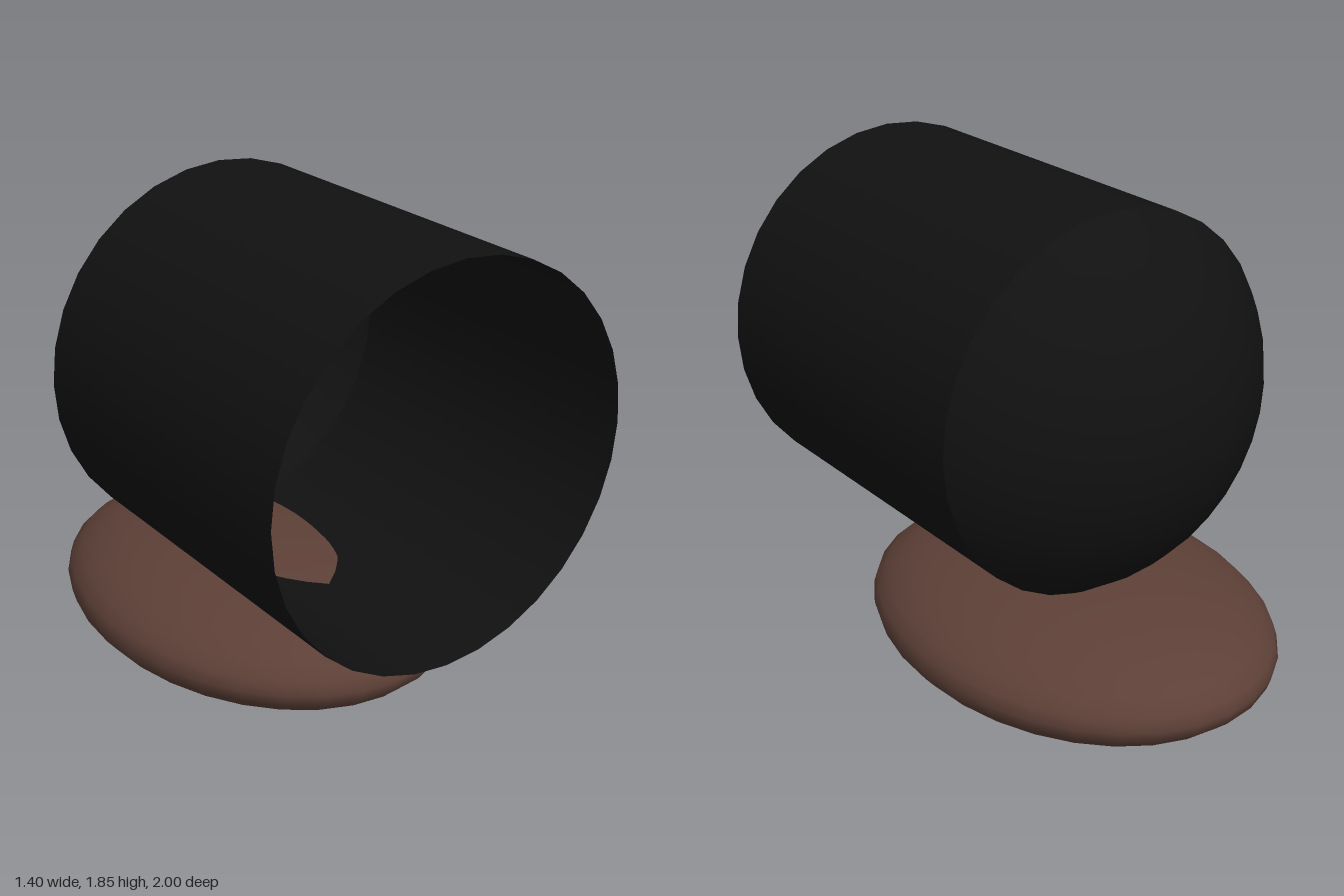
import * as THREE from 'three';

export function createModel() {
  const model = new THREE.Group();
  const black = new THREE.MeshStandardMaterial({ color: 0x111111, side: THREE.DoubleSide });
  const brown = new THREE.MeshStandardMaterial({ color: 0x5d4037 });

  const add = (name, geometry, material, x, y, z) => {
    const mesh = new THREE.Mesh(geometry, material);
    mesh.name = name;
    mesh.position.set(x, y, z);
    model.add(mesh);
    return mesh;
  };

  const radius = 0.7, axisY = 1.15, frontZ = 1, seamZ = -0.35, backZ = -0.74;

  // Open sleeve lying along z, its mouth towards the front
  const length = frontZ - seamZ;
  const sleeve = new THREE.CylinderGeometry(radius, radius, length, 32, 1, true);
  sleeve.rotateX(-Math.PI / 2);
  add('sleeve', sleeve, black, 0, axisY, (frontZ + seamZ) / 2);

  // Shallow spherical dome closing the back
  const rise = seamZ - backZ;
  const domeRadius = (radius * radius + rise * rise) / (2 * rise);
  const domeAngle = Math.asin(radius / domeRadius);
  const dome = new THREE.SphereGeometry(domeRadius, 32, 7, 0, Math.PI * 2, 0, domeAngle);
  dome.rotateX(-Math.PI / 2);
  add('backDome', dome, black, 0, axisY, backZ + domeRadius);

  // Flattened oval foot
  const foot = new THREE.SphereGeometry(1, 32, 16);
  foot.scale(0.667, 0.245, 0.87);
  add('foot', foot, brown, 0, 0.245, -0.13);

  return model;
}
